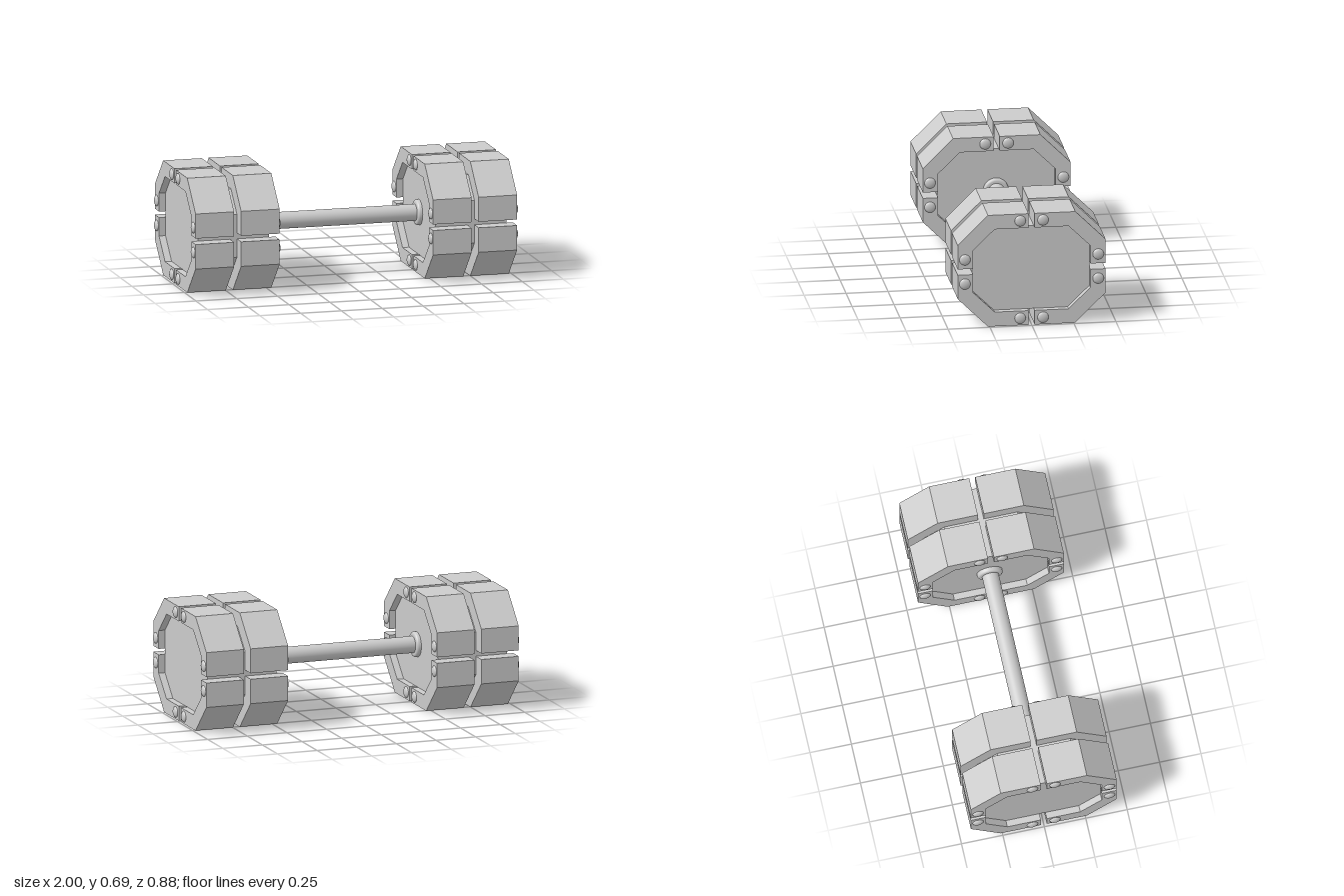
import * as THREE from 'three';

const AXIS_Y = 0.345;    // height of the handle axis
const HEAD_X = 0.7275;   // middle of each weight head
const GAP = 0.018;       // half width of the grooves between blocks
const signs = [-1, 1];

const flat = new THREE.MeshStandardMaterial({ color: 0xcccccc, flatShading: true });
const smooth = new THREE.MeshStandardMaterial({ color: 0xcccccc });

function add(parent, name, geometry, material, x = 0, y = 0, z = 0) {
  const mesh = new THREE.Mesh(geometry, material);
  mesh.name = name;
  mesh.position.set(x, y, z);
  parent.add(mesh);
  return mesh;
}

// Extrude a [z, y] outline along x, centred on x = 0
function slab(points, width) {
  const shape = new THREE.Shape(points.map(([z, y]) => new THREE.Vector2(z, y)));
  return new THREE.ExtrudeGeometry(shape, { depth: width, bevelEnabled: false })
    .translate(0, 0, -width / 2)
    .rotateY(-Math.PI / 2);
}

function createHead() {
  const head = new THREE.Group();

  // Octagonal core, recessed behind the blocks
  const core = [
    [0.22, 0.257], [0.35, 0.129], [0.35, -0.129], [0.22, -0.257],
    [-0.22, -0.257], [-0.35, -0.129], [-0.35, 0.129], [-0.22, 0.257],
  ];
  add(head, 'core', slab(core, 0.435), flat);

  // Quarter rim block wrapped round one corner of the core
  const quarter = [
    [GAP, 0.257], [GAP, 0.345], [0.26, 0.345], [0.44, 0.166],
    [0.44, GAP], [0.35, GAP], [0.35, 0.129], [0.22, 0.257],
  ];
  const rivet = new THREE.SphereGeometry(0.033, 24, 16).scale(0.015 / 0.033, 1, 1);

  for (const sz of signs) for (const sy of signs) {
    const block = slab(quarter.map(([z, y]) => [z * sz, y * sy]), 0.236);
    for (const sx of signs) {
      add(head, 'rimBlock', block, flat, sx * 0.1395, 0, 0);
      // Two domed rivets on the exposed face of each block
      for (const [z, y] of [[0.068, 0.302], [0.397, 0.075]])
        add(head, 'rivet', rivet, smooth, sx * 0.2575, y * sy, z * sz);
    }
  }
  return head;
}

export function createModel() {
  const model = new THREE.Group();
  model.name = 'dumbbell';

  // Round handle
  const bar = new THREE.CylinderGeometry(0.05, 0.05, 1.04, 40).rotateZ(Math.PI / 2);
  add(model, 'handle', bar, smooth, 0, AXIS_Y, 0);

  // Stepped, rounded collar where the handle meets a head
  const collarProfile = [
    [0.076, 0], [0.076, 0.014], [0.074, 0.02], [0.069, 0.025], [0.062, 0.027], [0.048, 0.027],
  ].map(([r, h]) => new THREE.Vector2(r, h));
  const collar = new THREE.LatheGeometry(collarProfile, 40);

  for (const s of signs) {
    const head = createHead();
    head.name = s > 0 ? 'leftHead' : 'rightHead';
    head.position.set(s * HEAD_X, AXIS_Y, 0);
    model.add(head);
    add(model, 'collar', collar, smooth, s * 0.51, AXIS_Y, 0).rotation.z = s * Math.PI / 2;
  }
  return model;
}
